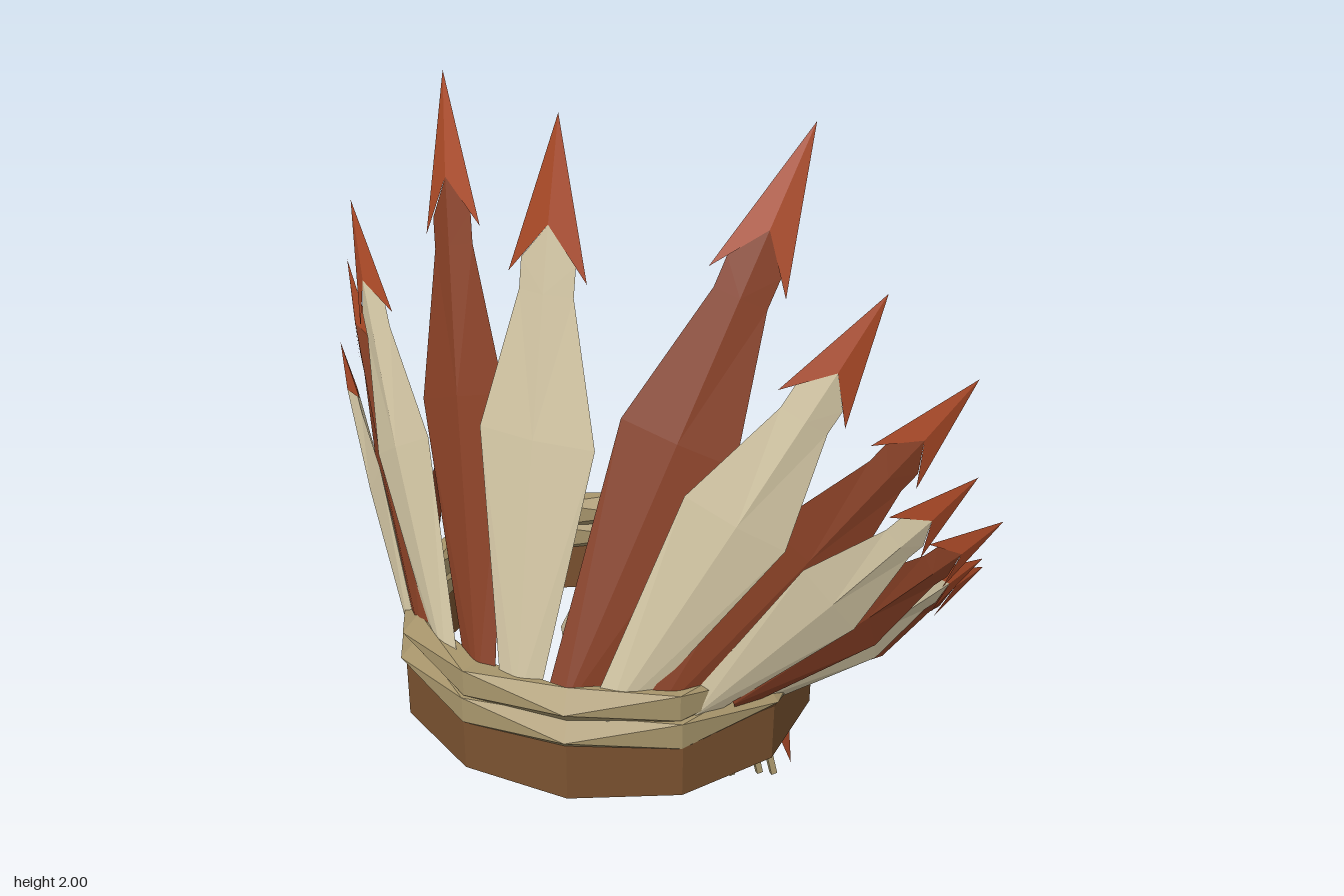
import * as THREE from 'three';

const mat = (name, color) => {
  const m = new THREE.MeshStandardMaterial({ color, flatShading: true });
  m.name = name;
  return m;
};
const V = (x, y, z) => new THREE.Vector3(x, y, z);

export function createModel() {
  const cream = mat('cream', 0xd3c6a4);
  const rust = mat('rust', 0x853e24);
  const orange = mat('burnt orange', 0xa84826);
  const leather = mat('leather brown', 0x7a5230);
  const cord = mat('tan cord', 0xa8966c);
  const model = new THREE.Group();
  model.name = 'headdress';
  const CZ = 0.08; // centre of the band in z

  const add = (parent, name, geometry, material) => {
    const mesh = new THREE.Mesh(geometry, material);
    mesh.name = name;
    parent.add(mesh);
    return mesh;
  };
  const fromTriangles = (points) => {
    const g = new THREE.BufferGeometry().setFromPoints(points);
    g.computeVertexNormals();
    return g;
  };

  // Twelve-sided leather band
  const profile = [[0.95, 0.6], [1, 0.6], [1, 0.74], [0.9, 0.74], [0.9, 0.6], [0.95, 0.6]];
  const band = add(model, 'band', new THREE.LatheGeometry(
    profile.map(([x, y]) => new THREE.Vector2(x, y)), 12, Math.PI / 12), leather);
  band.scale.set(0.48, 1, 0.455);
  band.position.z = CZ;

  // Twisted cords: square sections turned 45 degrees at every other step
  function cordRing(y, rx, rz, tube) {
    const n = 12, pts = [];
    const p = (i, j) => {
      const a = ((i % n) + 0.5) / n * Math.PI * 2;
      const b = (j + (i % 2) * 0.5) * Math.PI / 2;
      const out = tube * Math.cos(b);
      return V(Math.sin(a) * (rx + out), y + tube * 1.1 * Math.sin(b), CZ + Math.cos(a) * (rz + out));
    };
    for (let i = 0; i < n; i++) for (let j = 0; j < 4; j++) {
      const a = p(i, j), b = p(i + 1, j), c = p(i + 1, j + 1), d = p(i, j + 1);
      if (i % 2) pts.push(a, c, d, a, b, c);
      else pts.push(a, b, d, b, c, d);
    }
    return fromTriangles(pts);
  }
  add(model, 'lowerCord', cordRing(0.755, 0.45, 0.43, 0.04), cord);
  add(model, 'upperCord', cordRing(0.822, 0.44, 0.425, 0.04), cord);

  // Blade with a raised spine; rows are [edge along, half width, spine along, spine height]
  function blade(rows, length, half) {
    const pts = [];
    for (let k = 0; k < rows.length - 1; k++) for (const s of [1, -1]) for (const f of [1, -1]) {
      const edge = ([t, w]) => V(s * w * half, t * length, 0);
      const spine = (r) => V(0, r[2] * length, f * r[3]);
      const e0 = edge(rows[k]), e1 = edge(rows[k + 1]);
      const c0 = spine(rows[k]), c1 = spine(rows[k + 1]);
      if (s * f > 0) pts.push(c0, e0, e1, c0, e1, c1);
      else pts.push(c0, e1, e0, c0, c1, e1);
    }
    return fromTriangles(pts);
  }
  const vane = [[0, 0.32, 0, 0.012], [0.48, 1, 0.48, 0.018], [0.72, 0.46, 0.72, 0.014], [0.771, 0.46, 0.83, 0.012]];
  const point = [[0.745, 0.66, 0.83, 0.012], [1, 0, 1, 0]];

  function feather(name, base, tip, outward, half, material) {
    const group = new THREE.Group();
    group.name = name;
    const dir = tip.clone().sub(base), length = dir.length();
    dir.normalize();
    const side = dir.clone().cross(outward).normalize();
    group.applyMatrix4(new THREE.Matrix4()
      .makeBasis(side, dir, side.clone().cross(dir)).setPosition(base));
    add(group, name + 'Vane', blade(vane, length, half), material);
    add(group, name + 'Tip', blade(point, length, half), orange);
    model.add(group);
  }

  // Crown feathers, from the middle of the front to the sides: tip x, y, z and half width
  const crown = [
    [0, 2, 0.27, 0.13], [0.415, 1.965, 0, 0.125], [0.61, 1.68, 0.09, 0.12],
    [0.76, 1.455, -0.09, 0.115], [0.785, 1.245, -0.07, 0.11], [0.815, 1.065, -0.23, 0.105],
    [0.775, 0.95, -0.25, 0.1], [0.74, 0.82, -0.43, 0.1], [0.66, 0.75, -0.52, 0.1],
  ];
  crown.forEach(([x, y, z, half], i) => {
    const a = i * Math.PI / 15;
    for (const s of i ? [1, -1] : [1]) {
      const out = V(s * Math.sin(a), 0, Math.cos(a));
      const base = V(out.x * 0.46, i < 6 ? 0.79 : 0.77, CZ + out.z * 0.415);
      feather('crownFeather', base, V(s * x, y, z), out, half, i % 2 ? rust : cream);
    }
  });

  // Hanging back feathers: base x, z, then tip x, y, z
  const tail = [
    [0.045, -0.335, 0.08, 0, -0.42, cream],
    [0.115, -0.325, 0.21, 0.07, -0.39, rust],
    [0.19, -0.3, 0.325, 0.165, -0.34, cream],
  ];
  // Thin hanging thongs: base x, then end x, y, z
  const thongs = [
    [0.02, 0.04, 0.05, -0.335], [0.06, 0.12, 0.05, -0.335], [0.09, 0.165, 0.08, -0.33],
    [0.13, 0.25, 0.13, -0.31], [0.16, 0.3, 0.165, -0.28],
  ];
  for (const s of [1, -1]) {
    for (const [bx, bz, x, y, z, material] of tail) {
      feather('tailFeather', V(s * bx, 0.67, bz), V(s * x, y, z),
        V(s * x, 0, -0.45).normalize(), 0.07, material);
    }
    for (const [bx, x, y, z] of thongs) {
      const a = V(s * bx, 0.67, -0.285), b = V(s * x, y, z), d = b.clone().sub(a);
      const thong = add(model, 'thong', new THREE.CylinderGeometry(0.015, 0.011, d.length(), 4), cord);
      thong.position.copy(a).addScaledVector(d, 0.5);
      thong.quaternion.setFromUnitVectors(V(0, -1, 0), d.normalize());
    }
  }
  return model;
}
